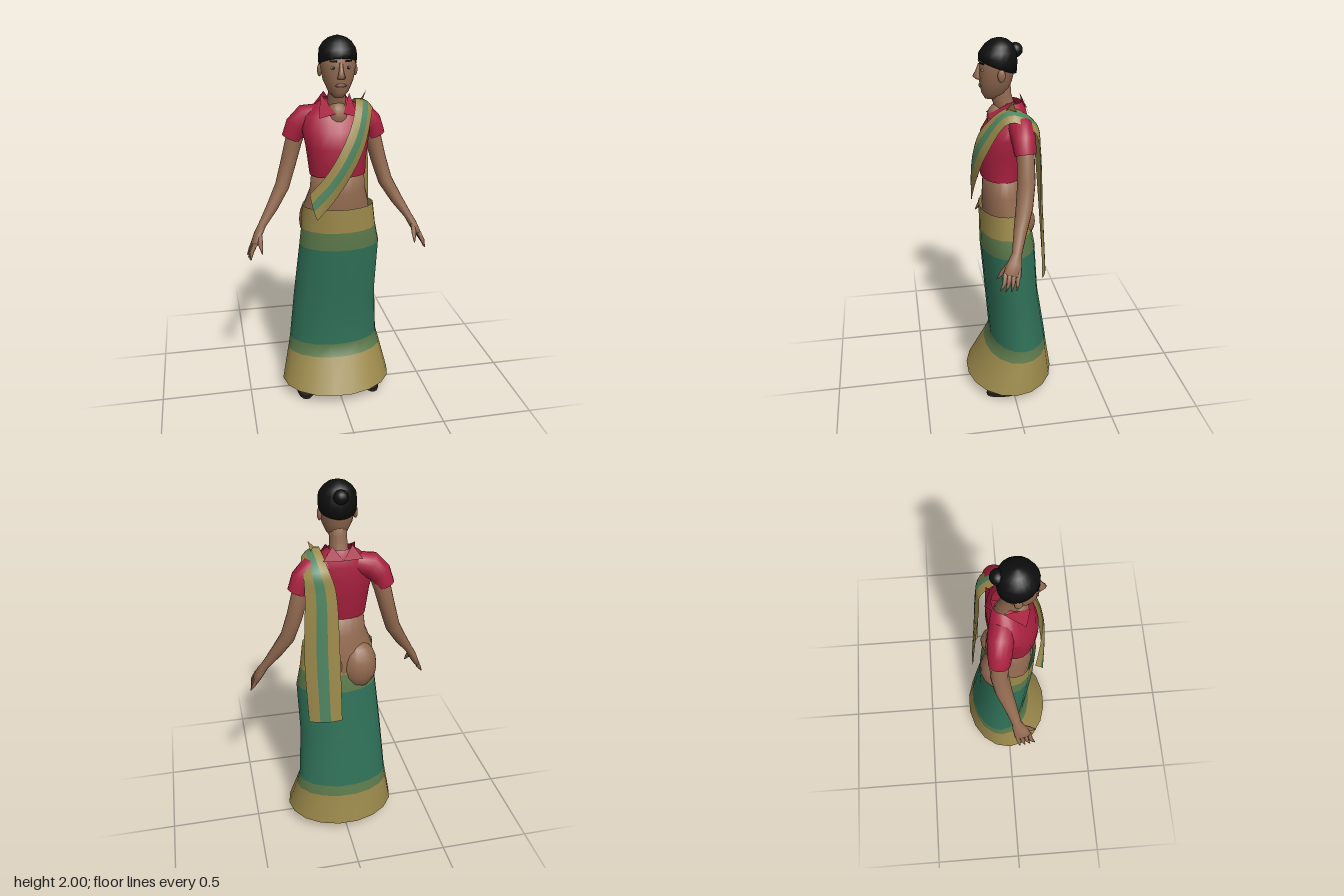
import * as THREE from 'three';

const mat = (name, color, double) => {
  const m = new THREE.MeshStandardMaterial({ color, side: double ? THREE.DoubleSide : THREE.FrontSide });
  m.name = name;
  return m;
};
const V = (x, y, z) => new THREE.Vector3(x, y, z);

export function createModel() {
  const model = new THREE.Group();
  model.name = 'womanInSari';
  const skin = mat('skin', 0x926a50);
  const red = mat('blouseRed', 0xa8203f, true);
  const gold = mat('gold', 0x9b894b, true);
  const olive = mat('olive', 0x5d7a4c, true);
  const green = mat('green', 0x2f7057, true);
  const stripe = mat('stripeGreen', 0x4f8460, true);
  const black = mat('hairBlack', 0x0e0e0e, true);
  const sole = mat('sandalBrown', 0x2b211d, true);
  const lip = mat('lipBrown', 0x774840);
  const eye = mat('eyeGrey', 0x7d8473);

  const add = (name, geo, material) => {
    const mesh = new THREE.Mesh(geo, material);
    mesh.name = name;
    model.add(mesh);
    return mesh;
  };

  // Joins closed rings of points; mats may hold one material for each band
  const loft = (name, rings, mats, caps = true) => {
    const n = rings[0].length, pos = [], idx = [];
    const geo = new THREE.BufferGeometry();
    rings.forEach(r => r.forEach(p => pos.push(p.x, p.y, p.z)));
    for (let i = 0; i < rings.length - 1; i++) {
      if (Array.isArray(mats)) geo.addGroup(idx.length, n * 6, i);
      for (let j = 0; j < n; j++) {
        const a = i * n + j, b = i * n + (j + 1) % n, c = a + n, d = b + n;
        idx.push(a, c, b, b, c, d);
      }
    }
    if (caps) [0, rings.length - 1].forEach((i, end) => {
      const c = rings[i].reduce((s, p) => s.add(p), V(0, 0, 0)).divideScalar(n);
      const k = pos.length / 3;
      pos.push(c.x, c.y, c.z);
      for (let j = 0; j < n; j++) {
        const a = i * n + j, b = i * n + (j + 1) % n;
        end ? idx.push(a, k, b) : idx.push(a, b, k);
      }
    });
    geo.setAttribute('position', new THREE.Float32BufferAttribute(pos, 3));
    geo.setIndex(idx);
    geo.computeVertexNormals();
    return add(name, geo, mats);
  };

  // Level rings from rows of [y, centre x, front z, back z, half width, tilt]
  const levels = (rows, n) => rows.map(([y, cx, zf, zb, rx, tilt = 0]) =>
    Array.from({ length: n }, (_, j) => {
      const a = j / n * Math.PI * 2, dz = Math.sin(a) * (zf - zb) / 2;
      return V(cx + rx * Math.cos(a), y + tilt * dz, (zf + zb) / 2 + dz);
    }));

  // Rings square to a path of [x, y, z, radius, radius toward z]
  const along = (rows, n) => rows.map((r, i) => {
    const p = rows[Math.max(i - 1, 0)], q = rows[Math.min(i + 1, rows.length - 1)];
    const t = V(q[0] - p[0], q[1] - p[1], q[2] - p[2]).normalize();
    const u = t.clone().cross(V(0, 0, 1)).normalize(), v = u.clone().cross(t);
    return Array.from({ length: n }, (_, j) => {
      const a = j / n * Math.PI * 2;
      return V(r[0], r[1], r[2]).addScaledVector(u, Math.cos(a) * r[3])
        .addScaledVector(v, Math.sin(a) * (r[4] ?? r[3]));
    });
  });

  const ball = (name, m, p, s, seg = 14) => {
    const mesh = add(name, new THREE.SphereGeometry(1, seg, Math.ceil(seg * 0.7)), m);
    mesh.position.set(...p);
    mesh.scale.set(...s);
    return mesh;
  };

  const triangle = (name, m, a, b, c) => {
    const geo = new THREE.BufferGeometry();
    geo.setAttribute('position', new THREE.Float32BufferAttribute([...a, ...b, ...c], 3));
    geo.computeVertexNormals();
    return add(name, geo, m);
  };

  // Long skirt with border bands
  loft('skirt', levels([
    [0.06, 0, 0.247, -0.25, 0.31], [0.245, -0.003, 0.14, -0.22, 0.268],
    [0.31, -0.005, 0.108, -0.212, 0.253], [0.6, -0.003, 0.13, -0.165, 0.231],
    [0.9, 0.018, 0.155, -0.14, 0.22], [1.0, 0.012, 0.156, -0.122, 0.204],
    [1.13, 0.006, 0.156, -0.1, 0.192],
  ], 18), [gold, olive, green, green, olive, gold], false);

  // Body
  loft('waist', levels([
    [0.9, 0, 0.12, -0.11, 0.18], [1.0, 0, 0.13, -0.12, 0.19], [1.13, 0, 0.14, -0.11, 0.175],
    [1.21, 0.005, 0.138, -0.085, 0.15], [1.33, 0.005, 0.13, -0.065, 0.138],
  ], 20), skin);
  ball('rightHip', skin, [-0.088, 1.02, -0.05], [0.105, 0.14, 0.1]);
  ball('leftHip', skin, [0.06, 1.04, -0.045], [0.08, 0.11, 0.092]);
  loft('blouse', levels([
    [1.3, 0.003, 0.145, -0.068, 0.148], [1.36, 0, 0.155, -0.082, 0.152],
    [1.45, 0, 0.157, -0.096, 0.163], [1.53, 0, 0.138, -0.102, 0.178],
    [1.6, 0, 0.092, -0.1, 0.165], [1.65, 0, 0.055, -0.09, 0.11], [1.685, 0, 0.03, -0.07, 0.062],
  ], 20), red, false);
  ball('neckline', skin, [0, 1.605, 0.045], [0.055, 0.075, 0.062]);
  loft('neck', along([
    [0, 1.56, -0.01, 0.065, 0.055], [0, 1.65, 0.012, 0.05, 0.05],
    [0, 1.72, 0.035, 0.045, 0.052], [0, 1.8, 0.045, 0.05, 0.06],
  ], 14), skin);

  // Head
  loft('head', levels([
    [1.705, 0, 0.115, 0.03, 0.025], [1.735, 0, 0.132, 0, 0.052], [1.79, 0, 0.142, -0.02, 0.077],
    [1.85, 0, 0.143, -0.035, 0.089], [1.9, 0, 0.141, -0.04, 0.091], [1.95, 0, 0.115, -0.03, 0.078],
  ], 20), skin);
  loft('hair', levels([
    [1.865, 0, 0.145, -0.044, 0.095, 0.38], [1.905, 0, 0.145, -0.048, 0.097, 0.2],
    [1.94, 0, 0.135, -0.044, 0.092], [1.97, 0, 0.112, -0.026, 0.072],
    [1.99, 0, 0.085, 0.0, 0.045], [2.0, 0, 0.055, 0.03, 0.012],
  ], 20), black);
  ball('hairBun', black, [0, 1.938, -0.038], [0.038, 0.036, 0.036]);
  loft('nose', levels([
    [1.803, 0, 0.158, 0.13, 0.02], [1.818, 0, 0.176, 0.13, 0.018],
    [1.845, 0, 0.16, 0.13, 0.011], [1.88, 0, 0.146, 0.13, 0.008],
  ], 8), skin);
  ball('lips', lip, [0, 1.77, 0.138], [0.027, 0.01, 0.007], 10);

  for (const s of [1, -1]) {
    const side = s > 0 ? 'left' : 'right';
    // Face details
    ball(side + 'Ear', skin, [s * 0.09, 1.835, 0.045], [0.012, 0.032, 0.02], 10);
    ball(side + 'Eye', eye, [s * 0.036, 1.855, 0.129], [0.015, 0.008, 0.008], 10);
    ball(side + 'Pupil', black, [s * 0.036, 1.855, 0.135], [0.006, 0.006, 0.004], 8);
    const brow = add(side + 'Eyebrow', new THREE.BoxGeometry(0.036, 0.008, 0.008), black);
    brow.position.set(s * 0.038, 1.887, 0.133);
    brow.rotation.y = s * 0.4;

    // Pointed collar
    triangle(side + 'Collar', red, [s * 0.075, 1.705, -0.02], [s * 0.02, 1.625, 0.11], [s * 0.1, 1.6, 0.085]);
    triangle(side + 'BackCollar', red, [s * 0.05, 1.71, -0.07], [0, 1.64, -0.1], [s * 0.1, 1.64, -0.09]);

    // Sleeve, arm and hand
    const mirror = rows => rows.map(([x, ...rest]) => [s * x, ...rest]);
    loft(side + 'Sleeve', along(mirror([
      [0.08, 1.6, -0.03, 0.055, 0.06], [0.15, 1.585, -0.04, 0.068, 0.064],
      [0.198, 1.54, -0.046, 0.06, 0.06], [0.225, 1.475, -0.05, 0.052, 0.054],
    ]), 14), red, false);
    loft(side + 'Arm', along(mirror([
      [0.17, 1.57, -0.045, 0.04], [0.213, 1.46, -0.053, 0.045], [0.245, 1.34, -0.052, 0.042, 0.046],
      [0.282, 1.22, -0.036, 0.039, 0.044], [0.34, 1.12, -0.005, 0.032, 0.034],
      [0.4, 1.03, 0.022, 0.021, 0.025], [0.425, 0.985, 0.038, 0.022, 0.038],
      [0.45, 0.935, 0.055, 0.017, 0.046],
    ]), 12), skin);
    for (let f = 0; f < 4; f++) {
      const z = 0.022 + f * 0.022;
      loft(side + 'Finger' + (f + 1), along(mirror([
        [0.445, 0.95, z, 0.012, 0.013], [0.467, 0.905, z + 0.008, 0.011],
        [0.486 - f * 0.004, 0.862 + Math.abs(f - 1.5) * 0.006, z + 0.014 + f * 0.005, 0.003],
      ]), 6), skin);
    }
    loft(side + 'Thumb', along(mirror([
      [0.42, 0.99, 0.06, 0.014], [0.418, 0.945, 0.095, 0.013], [0.413, 0.905, 0.125, 0.003],
    ]), 6), skin);

    // Leg, foot and sandal
    loft(side + 'Leg', along(mirror([
      [0.17, 0.03, -0.06, 0.034, 0.04], [0.165, 0.12, -0.06, 0.032, 0.036],
      [0.15, 0.35, -0.06, 0.05, 0.055], [0.12, 0.6, -0.025, 0.06, 0.065],
      [0.1, 0.95, 0, 0.08, 0.09],
    ]), 12), skin);
    ball(side + 'Foot', skin, [s * 0.178, 0.04, 0.03], [0.042, 0.026, 0.115]);
    const base = add(side + 'Sandal', new THREE.CylinderGeometry(1, 1, 0.02, 18), sole);
    base.scale.set(0.056, 1, 0.143);
    base.position.set(s * 0.18, 0.01, 0.015);
    base.rotation.y = s * 0.12;
    const strap = add(side + 'SandalStrap', new THREE.TorusGeometry(0.046, 0.006, 6, 12, Math.PI), sole);
    strap.position.set(s * 0.18, 0.018, 0.07);
  }

  // Sash: crosses the chest, passes over the left shoulder and hangs behind
  const curve = pts => new THREE.CatmullRomCurve3(pts.map(p => V(...p)));
  const inner = curve([[-0.16, 1.22, 0.135], [-0.075, 1.33, 0.165], [0.0, 1.46, 0.172], [0.06, 1.58, 0.13],
    [0.1, 1.68, 0.01], [0.075, 1.6, -0.115], [0.045, 1.5, -0.128], [0.03, 1.15, -0.16], [0.025, 0.76, -0.192]]);
  const outer = curve([[-0.13, 1.09, 0.18], [-0.04, 1.19, 0.178], [0.04, 1.3, 0.165], [0.125, 1.45, 0.128],
    [0.19, 1.63, 0.02], [0.2, 1.58, -0.1], [0.2, 1.48, -0.125], [0.213, 1.15, -0.135], [0.2, 0.75, -0.155]]);
  const STEPS = 40;
  const sashPoint = (t, f) => {
    const a = inner.getPoint(t), b = outer.getPoint(t);
    const out = b.clone().sub(a).cross(inner.getTangent(t).add(outer.getTangent(t))).normalize();
    return a.lerp(b, f).addScaledVector(out, 0.07 * f * (1 - f));
  };
  [[0, 0.34, gold, 'sashInnerBorder'], [0.34, 0.66, stripe, 'sashStripe'], [0.66, 1, gold, 'sashOuterBorder']]
    .forEach(([f0, f1, m, name]) => {
      const pos = [], idx = [];
      for (let i = 0; i <= STEPS; i++) for (let k = 0; k < 3; k++) {
        pos.push(...sashPoint(i / STEPS, f0 + (f1 - f0) * k / 2).toArray());
        const a = i * 3 + k;
        if (i < STEPS && k < 2) idx.push(a, a + 1, a + 3, a + 1, a + 4, a + 3);
      }
      const geo = new THREE.BufferGeometry();
      geo.setAttribute('position', new THREE.Float32BufferAttribute(pos, 3));
      geo.setIndex(idx);
      geo.computeVertexNormals();
      add(name, geo, m);
    });
  triangle('sashFold', gold, [0.16, 1.72, 0.0], [0.09, 1.64, 0.05], [0.14, 1.64, -0.03]);

  return model;
}
